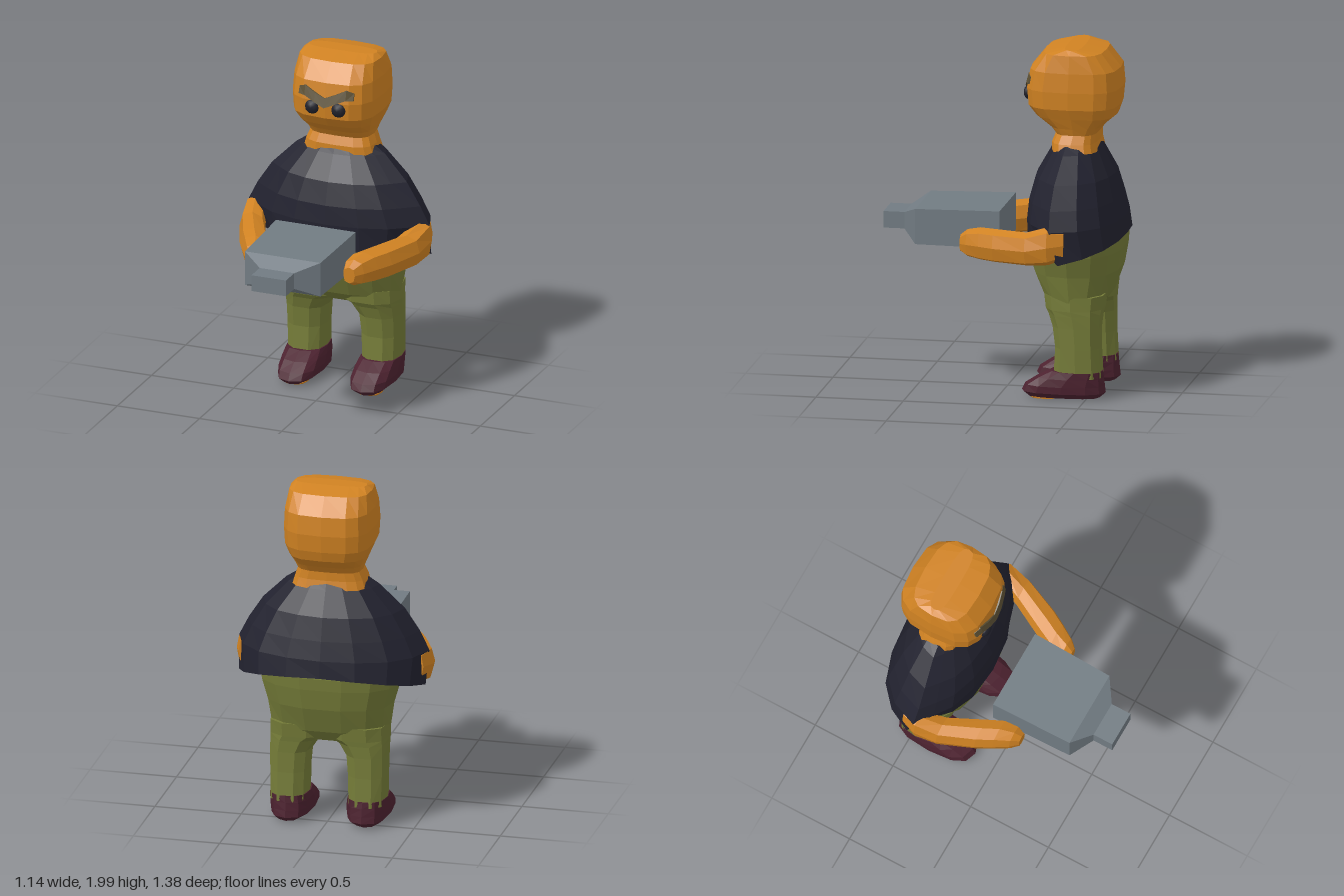
import * as THREE from 'three';

const mat = (name, color) => {
  const m = new THREE.MeshStandardMaterial({ color });
  m.name = name;
  return m;
};

// Faceted skin over a list of rings, capped at both ends and turned outward
function loft(rings) {
  const tris = [];
  const n = rings[0].length;
  for (let r = 0; r < rings.length - 1; r++) {
    for (let i = 0; i < n; i++) {
      const j = (i + 1) % n;
      const a = rings[r][i], b = rings[r][j], c = rings[r + 1][j], d = rings[r + 1][i];
      tris.push([a, b, c], [a, c, d]);
    }
  }
  const cap = (ring, flip) => {
    const mid = [0, 1, 2].map(k => ring.reduce((s, p) => s + p[k], 0) / n);
    ring.forEach((p, i) => {
      const q = ring[(i + 1) % n];
      tris.push(flip ? [mid, q, p] : [mid, p, q]);
    });
  };
  cap(rings[0], true);
  cap(rings[rings.length - 1], false);
  // The signed volume tells whether the corners run the right way round
  const v = p => new THREE.Vector3(...p);
  const volume = tris.reduce((s, [a, b, c]) => s + v(a).dot(v(b).cross(v(c))), 0);
  const pos = tris.flatMap(([a, b, c]) => (volume < 0 ? [a, c, b] : [a, b, c]).flat());
  const geo = new THREE.BufferGeometry();
  geo.setAttribute('position', new THREE.Float32BufferAttribute(pos, 3));
  geo.computeVertexNormals();
  return geo;
}

// Rounded section between two limits on each axis; a higher power is boxier
function oval(u0, u1, v0, v1, n, power, place) {
  const bend = t => Math.sign(t) * Math.pow(Math.abs(t), 2 / power);
  return Array.from({ length: n }, (_, i) => {
    const a = (i / n) * Math.PI * 2;
    return place((u0 + u1) / 2 + (u1 - u0) / 2 * bend(Math.cos(a)),
      (v0 + v1) / 2 + (v1 - v0) / 2 * bend(Math.sin(a)));
  });
}

// Rows of [y, x0, x1, z0, z1] stacked upward
const stack = (rows, n, power, s = 1) => loft(rows.map(([y, x0, x1, z0, z1]) =>
  oval(x0, x1, z0, z1, n, power, (x, z) => [s * x, y, z])));

// Mirror half an outline (front centre to back centre) into a full ring
const mirrorRing = half => [...half,
  ...half.slice(1, -1).reverse().map(([x, y, z]) => [-x, y, z])];

export function createModel() {
  const skin = mat('orange skin', 0xd08222);
  const shirt = mat('navy shirt', 0x22222f);
  const cloth = mat('olive trousers', 0x747b38);
  const leather = mat('maroon shoes', 0x4d2230);
  const metal = mat('grey metal', 0x717b82);
  const eyeMat = mat('dark eyes', 0x20212b);
  const browMat = mat('brown brows', 0x5c5034);

  const model = new THREE.Group();
  const add = (name, geo, material) => {
    const mesh = new THREE.Mesh(geo, material);
    mesh.name = name;
    model.add(mesh);
    return mesh;
  };

  // Head and neck
  add('head', stack([
    [1.40, -0.22, 0.22, -0.54, -0.27],
    [1.45, -0.205, 0.205, -0.53, -0.27],
    [1.50, -0.185, 0.185, -0.53, -0.29],
    [1.54, -0.20, 0.20, -0.56, -0.26],
    [1.60, -0.225, 0.225, -0.63, -0.18],
    [1.66, -0.25, 0.25, -0.65, -0.135],
    [1.76, -0.255, 0.255, -0.66, -0.125],
    [1.87, -0.25, 0.25, -0.65, -0.145],
    [1.97, -0.235, 0.235, -0.57, -0.225],
    [1.995, -0.205, 0.205, -0.45, -0.35],
  ], 16, 3.2), skin);

  // Wide shirt: one outline scaled row by row, then a drooping hem
  const outline = [[0, -0.13], [0.2, -0.15], [0.36, -0.2], [0.46, -0.27], [0.56, -0.345],
    [0.5, -0.5], [0.38, -0.61], [0.2, -0.67], [0, -0.69]];
  const rows = [[1.44, 0.21, -0.53, -0.275], [1.40, 0.27, -0.55, -0.255],
    [1.26, 0.41, -0.62, -0.175], [1.13, 0.495, -0.655, -0.14], [1.02, 0.55, -0.68, -0.13]];
  const shirtRings = rows.map(([y, w, zb, zf]) => mirrorRing(outline.map(([x, z]) =>
    [x * w / 0.56, y, zb + (z + 0.69) / 0.56 * (zf - zb)])));
  shirtRings.push(mirrorRing([[0, 0.87, -0.135], [0.2, 0.87, -0.155], [0.34, 0.89, -0.21],
    [0.43, 0.87, -0.31], [0.54, 0.83, -0.39], [0.48, 0.86, -0.52], [0.37, 0.89, -0.62],
    [0.2, 0.91, -0.675], [0, 0.92, -0.69]]));
  add('shirt', loft(shirtRings), shirt);

  // Trouser seat
  add('trouserSeat', stack([
    [0.505, -0.2, 0.2, -0.55, -0.31],
    [0.57, -0.345, 0.345, -0.60, -0.235],
    [0.72, -0.365, 0.365, -0.655, -0.165],
    [0.84, -0.40, 0.40, -0.675, -0.145],
    [0.91, -0.41, 0.41, -0.68, -0.145],
  ], 14, 2.5), cloth);

  for (const s of [1, -1]) {
    const side = s > 0 ? 'left' : 'right';

    // Trouser leg, curving in to the crotch
    add(side + 'TrouserLeg', stack([
      [0.13, 0.115, 0.335, -0.59, -0.31],
      [0.30, 0.11, 0.34, -0.58, -0.32],
      [0.42, 0.10, 0.342, -0.58, -0.305],
      [0.49, 0.055, 0.345, -0.585, -0.28],
      [0.52, 0, 0.347, -0.59, -0.26],
      [0.60, 0, 0.345, -0.60, -0.25],
    ], 10, 2.6, s), cloth);

    // Shoe and the sole patch under its toe
    add(side + 'Shoe', stack([
      [0.01, 0.15, 0.30, -0.57, -0.16],
      [0.04, 0.105, 0.335, -0.605, -0.125],
      [0.08, 0.10, 0.34, -0.60, -0.145],
      [0.125, 0.102, 0.34, -0.595, -0.215],
      [0.165, 0.11, 0.338, -0.59, -0.295],
    ], 12, 2.6, s), leather);
    add(side + 'SolePatch', stack([
      [0.003, 0.155, 0.295, -0.34, -0.18],
      [0.011, 0.155, 0.295, -0.35, -0.17],
    ], 10, 2.6, s), skin);

    // Forearm and fist reaching forward: [z, x0, x1, y0, y1]
    add(side + 'Arm', loft([
      [-0.42, 0.44, 0.535, 0.86, 1.03],
      [-0.33, 0.44, 0.568, 0.825, 1.045],
      [-0.20, 0.39, 0.548, 0.81, 1.00],
      [0.0, 0.285, 0.465, 0.80, 0.99],
      [0.09, 0.242, 0.415, 0.80, 0.985],
      [0.17, 0.238, 0.365, 0.81, 0.965],
      [0.212, 0.255, 0.325, 0.835, 0.93],
    ].map(([z, x0, x1, y0, y1]) =>
      oval(x0, x1, y0, y1, 8, 2.5, (x, y) => [s * x, y, z]))), skin);

    // Eye
    const eye = new THREE.IcosahedronGeometry(0.043, 1);
    eye.scale(1, 1, 0.7);
    eye.translate(s * 0.08, 1.72, -0.138);
    add(side + 'Eye', eye, eyeMat);

    // Slanted brow wrapped back around the face
    const section = [[0, 1.73, 1.785], [0.06, 1.757, 1.81], [0.125, 1.785, 1.842],
      [0.166, 1.785, 1.825]];
    add(side + 'Brow', loft(section.map(([x, lo, hi]) => {
      const z = -0.11 - 1.3 * x * x;
      return [[s * x, lo, z], [s * x, hi, z - 0.015], [s * x, hi, z - 0.07], [s * x, lo, z - 0.07]];
    })), browMat);
  }

  // Blocky device: body, tapered shoulder and square nozzle, [z, half width, y0, y1]
  add('heldDevice', loft([
    [0.0, 0.242, 0.845, 1.06], [0.485, 0.23, 0.847, 1.05],
    [0.57, 0.105, 0.905, 1.0], [0.69, 0.105, 0.905, 1.0],
  ].map(([z, w, y0, y1]) => [[-w, y0, z], [w, y0, z], [w, y1, z], [-w, y1, z]])), metal);

  return model;
}
